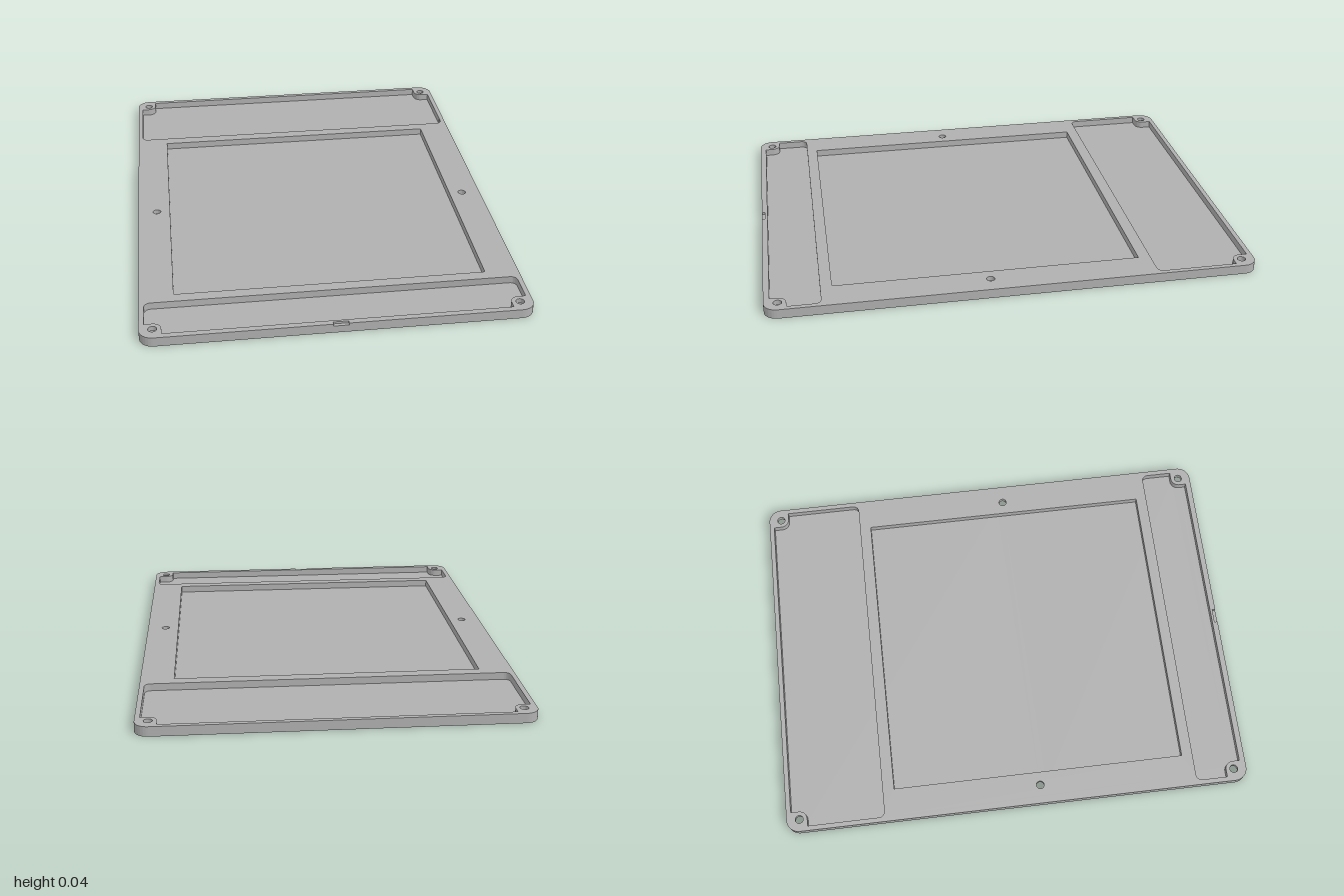
import * as THREE from 'three';
import { toCreasedNormals } from 'three/addons/utils/BufferGeometryUtils.js';

const W = 0.765, L = 1, R = 0.055;                 // half width, half length, corner radius
const BOSS = { x: 0.713, z: 0.945, r: 0.034 };     // screw bosses in the corners
const SCREWS = [[0.685, 0.1]];                     // side screws
for (const s of [-1, 1]) SCREWS.push([BOSS.x, s * BOSS.z]);

// Plan outline (shape y = model z), optionally with the notch in the front edge
function outline(notch) {
  const s = new THREE.Shape();
  s.moveTo(-W + R, -L);
  s.lineTo(W - R, -L);
  s.absarc(W - R, -L + R, R, -Math.PI / 2, 0);
  s.absarc(W - R, L - R, R, 0, Math.PI / 2);
  if (notch) {
    s.lineTo(0.03, L);
    s.lineTo(0.03, L - 0.014);
    s.lineTo(-0.03, L - 0.014);
    s.lineTo(-0.03, L);
  }
  s.absarc(-W + R, L - R, R, Math.PI / 2, Math.PI);
  s.absarc(-W + R, -L + R, R, Math.PI, Math.PI * 1.5);
  return s;
}

function rect(x, z0, z1) {
  return new THREE.Path([[-x, z0], [x, z0], [x, z1], [-x, z1], [-x, z0]]
    .map(([a, b]) => new THREE.Vector2(a, b)));
}

// End pocket: rounded towards the middle, wrapped round the bosses at the outer corners
function endPocket(inner, outer, dir) {
  const x = 0.745, f = 0.025, { x: bx, z: bz, r } = BOSS, p = new THREE.Path();
  const half = [];
  for (let i = 0; i <= 8; i++) {
    const a = (i / 8) * Math.PI / 2;
    half.push([x - f + f * Math.sin(a), inner + f - f * Math.cos(a)]);
  }
  half.push([x, bz - r]);
  for (let i = 0; i <= 12; i++) {
    const a = (i / 12) * Math.PI / 2;
    half.push([bx - r * Math.sin(a), bz - r * Math.cos(a)]);
  }
  half.push([bx - r, outer]);
  const all = [...half, ...half.map(([a, b]) => [-a, b]).reverse()];
  p.setFromPoints(all.map(([a, b]) => new THREE.Vector2(a, b * dir)));
  p.closePath();
  return p;
}

function screwHoles(r) {
  return SCREWS.flatMap(([x, z]) => [-1, 1].map(s =>
    new THREE.Path().absarc(s * x, z, r, 0, Math.PI * 2)));
}

export function createModel() {
  const group = new THREE.Group();
  const grey = new THREE.MeshStandardMaterial({ color: 0xb0b0b0 });
  grey.name = 'grey';

  const pockets = () => [
    endPocket(0.58, 0.98, -1),      // back pocket
    endPocket(0.777, 0.976, 1),     // front pocket
    rect(0.628, -0.53, 0.73),       // middle pocket
  ];

  // One horizontal slice of the plate between two heights
  function layer(name, y0, y1, holes, notch = false) {
    const shape = outline(notch);
    shape.holes.push(...holes);
    const geo = new THREE.ExtrudeGeometry(shape, { depth: y1 - y0, bevelEnabled: false, curveSegments: 16 });
    geo.rotateX(Math.PI / 2).translate(0, y1, 0);
    const mesh = new THREE.Mesh(toCreasedNormals(geo, 0.5), grey);
    mesh.name = name;
    group.add(mesh);
  }

  const bore = 0.028, hole = 0.017;
  layer('undersideWithRecess', 0, 0.004, [rect(0.5, -0.965, -0.565), ...screwHoles(bore)]);
  layer('pocketFloor', 0.004, 0.01, screwHoles(bore));
  layer('lowerWalls', 0.01, 0.02, [...pockets(), ...screwHoles(bore)]);
  layer('upperWalls', 0.02, 0.031, [...pockets(), ...screwHoles(hole)]);
  layer('notchedRim', 0.031, 0.04, [...pockets(), ...screwHoles(hole)], true);
  return group;
}
